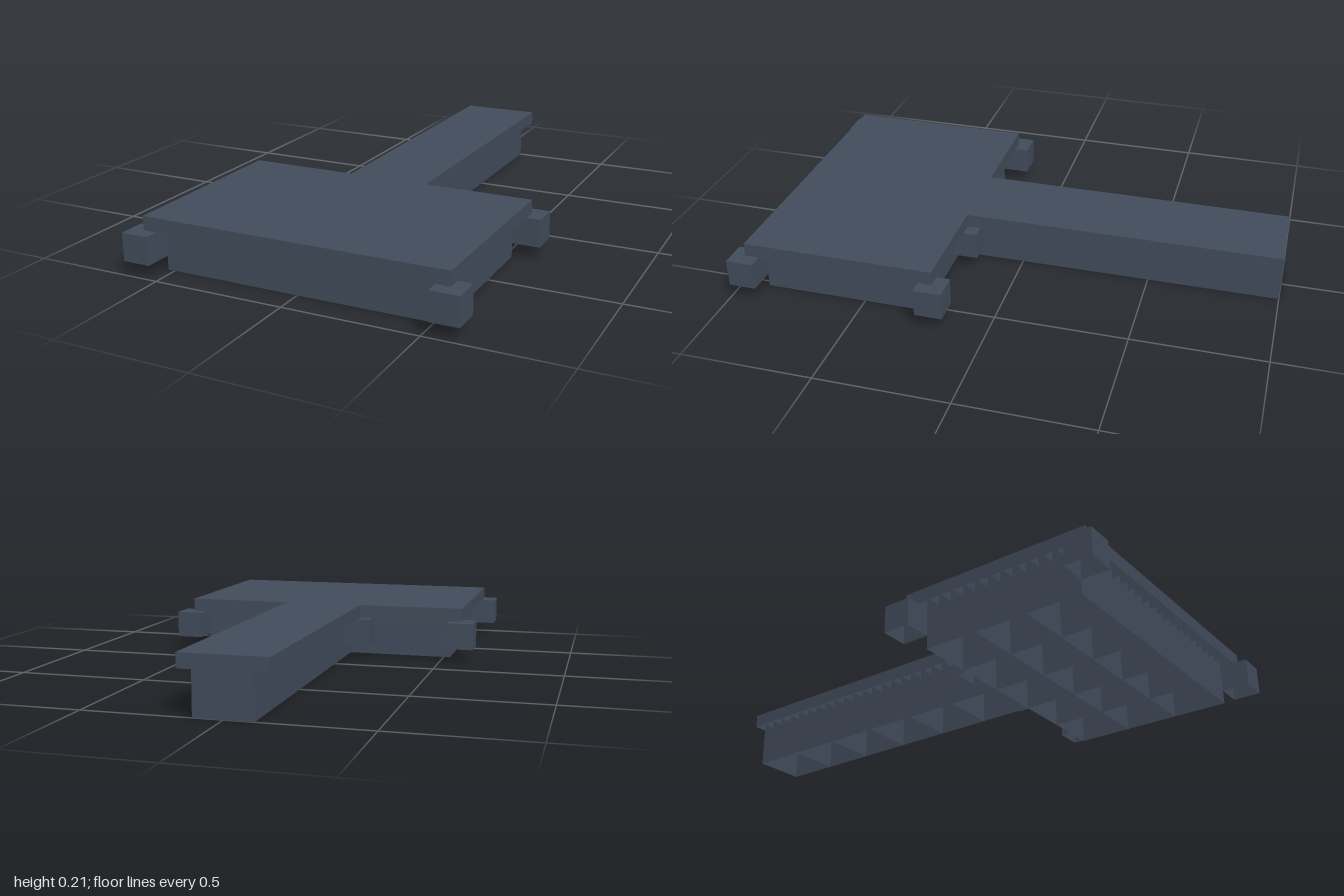
import * as THREE from 'three';
import { mergeGeometries } from 'three/addons/utils/BufferGeometryUtils.js';

const U = 2 / 19; // module size; all numbers below are in modules
const TOP = 2, LIP = 1.5;

export function createModel() {
  const group = new THREE.Group();
  const slate = new THREE.MeshStandardMaterial({ color: 0x414b5b, side: THREE.DoubleSide });
  slate.name = 'slate';

  const add = (name, geometries) => {
    const geometry = mergeGeometries(geometries).scale(U, U, U);
    const mesh = new THREE.Mesh(geometry, slate);
    mesh.name = name;
    group.add(mesh);
  };

  // Upright sheet standing on the line (x0, z0)-(x1, z1)
  const sheet = (x0, z0, x1, z1, y0, y1) => {
    const dx = x1 - x0, dz = z1 - z0;
    return new THREE.PlaneGeometry(Math.hypot(dx, dz), y1 - y0)
      .rotateY(-Math.atan2(dz, dx))
      .translate((x0 + x1) / 2, (y0 + y1) / 2, (z0 + z1) / 2);
  };

  // T-shaped deck and its skirt; points are x, z, counter-clockwise from above
  const outline = [
    [-5.5, 9], [5.5, 9], [5.5, 2], [1.5, 2], [1.5, -9.5], [-1.5, -9.5], [-1.5, 2], [-5.5, 2],
  ];
  const shape = new THREE.Shape(outline.map(([x, z]) => new THREE.Vector2(x, -z)));
  add('deck', [new THREE.ShapeGeometry(shape).rotateX(-Math.PI / 2).translate(0, TOP, 0)]);
  add('deckSkirt', outline.map(([x, z], i) => {
    const [x1, z1] = outline[(i + 1) % outline.length];
    return sheet(x, z, x1, z1, LIP, TOP);
  }));

  // Open-bottomed grid of cells under the wide platform
  const headGrid = [];
  for (let x = -5; x <= 5; x += 2) headGrid.push(sheet(x, 8.5, x, 2.5, 0, TOP));
  for (let z = 2.5; z <= 8.5; z += 2) headGrid.push(sheet(-5, z, 5, z, 0, TOP));
  add('platformCells', headGrid);

  // Single row of cells under the long arm
  const armGrid = [];
  for (const x of [-1, 1]) armGrid.push(sheet(x, 2.5, x, -9.5, 0, TOP));
  for (let z = -9.5; z <= 0.5; z += 2) armGrid.push(sheet(-1, z, 1, z, 0, z < -9 ? LIP : TOP));
  add('armCells', armGrid);

  // Small ribs inside the overhanging lip
  const ribs = [];
  for (let x = -5; x <= 5; x += 0.5) {
    ribs.push(sheet(x, 8.5, x, 9, LIP, TOP));
    if (Math.abs(x) >= 1.5) ribs.push(sheet(x, 2, x, 2.5, LIP, TOP));
  }
  for (const s of [-1, 1]) {
    for (let z = 2.5; z <= 8.5; z += 0.5) ribs.push(sheet(s * 5, z, s * 5.5, z, LIP, TOP));
    for (let z = -9; z <= 2; z += 0.5) ribs.push(sheet(s, z, s * 1.5, z, LIP, TOP));
  }
  add('lipRibs', ribs);

  // Hollow corner blocks, open below
  const block = (x, z) => [
    sheet(x - 0.5, z + 0.5, x + 0.5, z + 0.5, 0.5, LIP),
    sheet(x + 0.5, z - 0.5, x - 0.5, z - 0.5, 0.5, LIP),
    sheet(x + 0.5, z + 0.5, x + 0.5, z - 0.5, 0.5, LIP),
    sheet(x - 0.5, z - 0.5, x - 0.5, z + 0.5, 0.5, LIP),
    new THREE.PlaneGeometry(1, 1).rotateX(-Math.PI / 2).translate(x, LIP, z),
  ];
  for (const s of [-1, 1]) {
    const side = s > 0 ? 'left' : 'right';
    add(side + 'FrontCornerBlock', block(s * 5.5, 9));
    add(side + 'BackCornerBlock', block(s * 5.5, 2));
    add(side + 'InnerCornerBlock', block(s * 1.5, 2));
  }
  return group;
}
